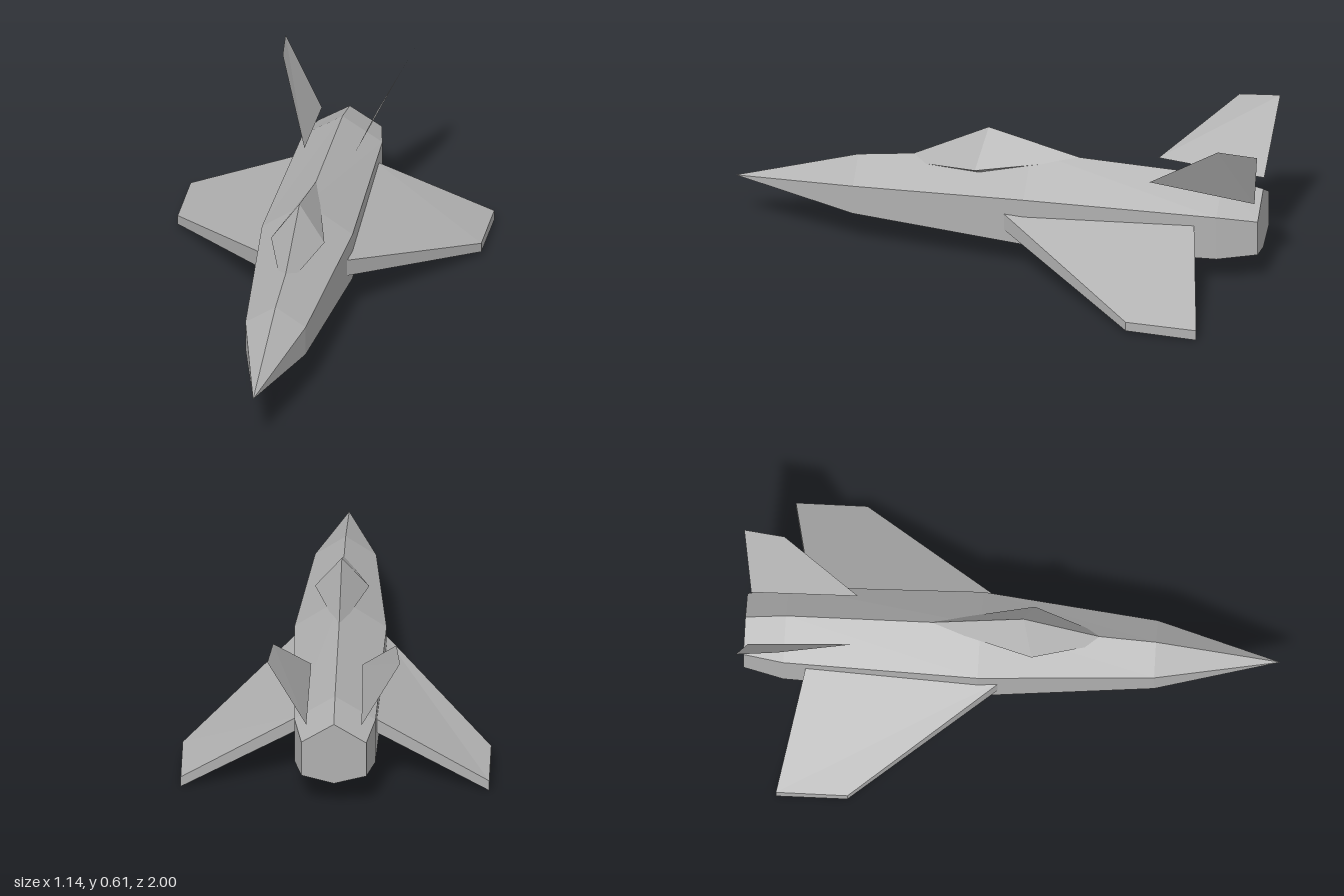
import * as THREE from 'three';

const grey = new THREE.MeshStandardMaterial({ color: 0xb0b0b0, flatShading: true, side: THREE.DoubleSide });
grey.name = 'hull grey';

// Skin a series of equal-length rings and cap both ends; collapsed triangles are skipped.
function loft(name, rings) {
  const pos = [];
  const tri = (a, b, c) => {
    const ab = new THREE.Vector3(...b).sub(new THREE.Vector3(...a));
    const ac = new THREE.Vector3(...c).sub(new THREE.Vector3(...a));
    if (ab.cross(ac).length() > 1e-7) pos.push(...a, ...b, ...c);
  };
  const n = rings[0].length;
  for (let r = 0; r + 1 < rings.length; r++) {
    const a = rings[r], b = rings[r + 1];
    for (let i = 0; i < n; i++) {
      const j = (i + 1) % n;
      tri(a[i], a[j], b[j]);
      tri(a[i], b[j], b[i]);
    }
  }
  const first = rings[0], last = rings[rings.length - 1];
  for (let i = 1; i + 1 < n; i++) {
    tri(first[0], first[i + 1], first[i]);
    tri(last[0], last[i], last[i + 1]);
  }
  return toMesh(name, pos);
}

function toMesh(name, pos) {
  const geo = new THREE.BufferGeometry();
  geo.setAttribute('position', new THREE.Float32BufferAttribute(pos, 3));
  geo.computeVertexNormals();
  const mesh = new THREE.Mesh(geo, grey);
  mesh.name = name;
  return mesh;
}

// Hexagonal hull section
const hullRing = ([z, w, top, upper, lower, bottom]) => [
  [0, top, z], [-w, upper, z], [-w, lower, z],
  [0, bottom, z], [w, lower, z], [w, upper, z],
];

// Mirror a ring in x, reversing it so that faces still point outward
const mirrorRing = (ring) => ring.map(([x, y, z]) => [-x, y, z]).reverse();

export function createModel() {
  const model = new THREE.Group();
  model.name = 'jetFighter';

  // Fuselage, tail to nose: z, half width, top, upper corner, lower corner, bottom
  model.add(loft('fuselage', [
    [-0.98, 0.12, 0.345, 0.27, 0.132, 0.10],
    [-0.83, 0.15, 0.385, 0.29, 0.115, 0.055],
    [-0.11, 0.17, 0.42, 0.305, 0.118, 0.042],
    [0.54, 0.113, 0.345, 0.27, 0.155, 0.10],
    [1.0, 0, 0.212, 0.212, 0.212, 0.212],
  ].map(hullRing)));

  // Faceted canopy, pointed at both ends
  const point = (y, z) => Array(4).fill([0, y, z]);
  model.add(loft('canopy', [
    point(0.403, -0.32),
    [[0, 0.507, 0.05], [-0.1, 0.373, 0.085], [0, 0.3, 0.05], [0.1, 0.373, 0.085]],
    point(0.335, 0.4),
  ]));

  // Drooping swept wings
  const wing = [
    [[0.14, 0.247, -0.005], [0.14, 0.18, -0.005], [0.14, 0.2, -0.745], [0.14, 0.255, -0.745]],
    [[0.57, 0.052, -0.565], [0.57, 0.016, -0.565], [0.57, 0.002, -0.83], [0.57, 0.042, -0.83]],
  ];
  model.add(loft('leftWing', wing), loft('rightWing', wing.map(mirrorRing)));

  // Thin outward-canted tail fins
  for (const s of [1, -1]) {
    const q = [[0.095, 0.385, -0.57], [0.102, 0.335, -0.965], [0.245, 0.61, -1.0], [0.228, 0.61, -0.85]]
      .map(([x, y, z]) => [s * x, y, z]);
    if (s > 0) q.reverse();
    model.add(toMesh(s > 0 ? 'leftTailFin' : 'rightTailFin',
      [q[0], q[1], q[2], q[0], q[2], q[3]].flat()));
  }
  return model;
}
